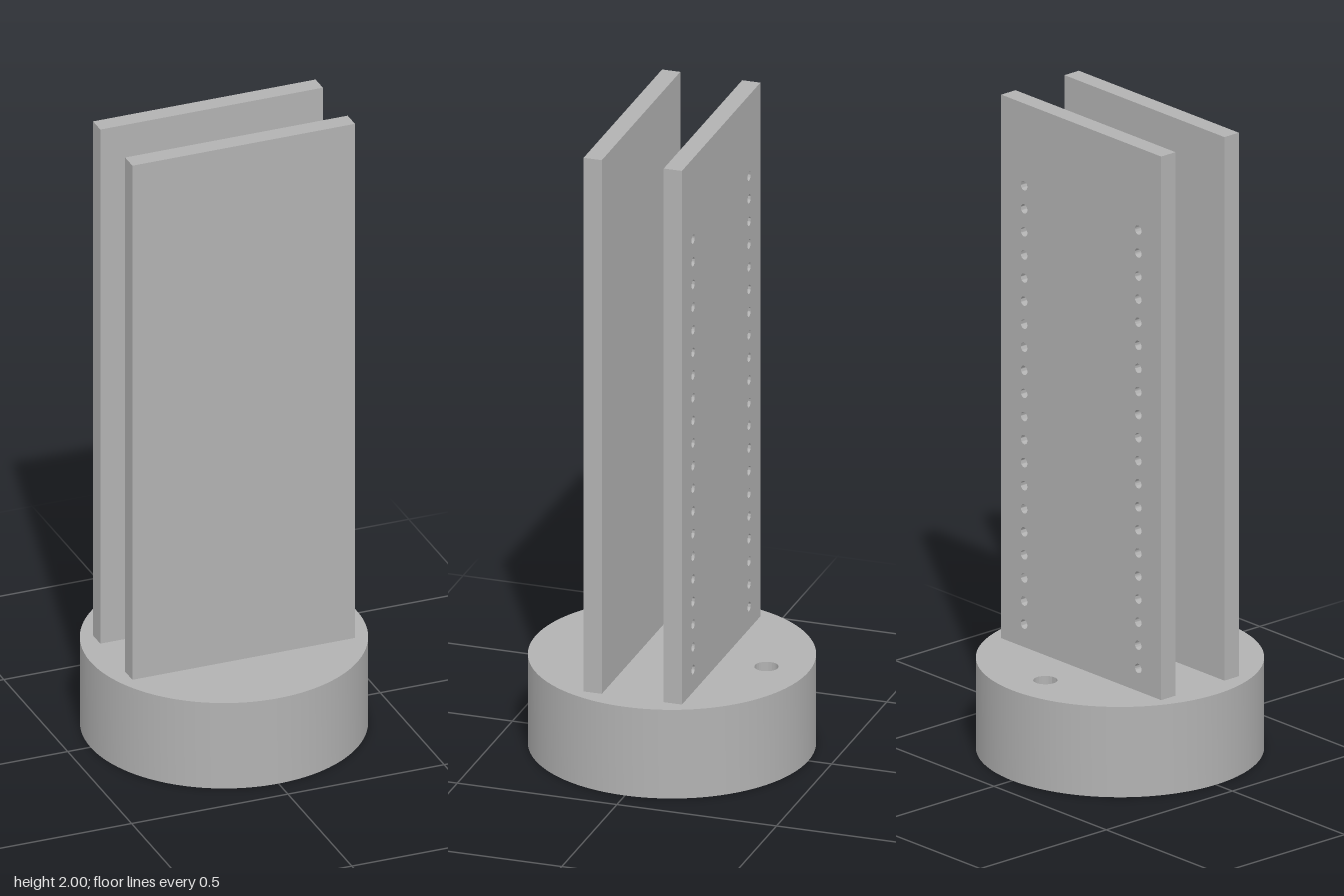
import * as THREE from 'three';
import { toCreasedNormals } from 'three/addons/utils/BufferGeometryUtils.js';

const BASE_R = 0.427, BASE_H = 0.285, TOP = 2;
const PLATE_HALF_W = 0.356, PLATE_T = 0.057, PLATE_Z = 0.1255;

function circleHole(x, y, r) {
  return new THREE.Path().absarc(x, y, r, 0, Math.PI * 2, true);
}

function extrude(shape, depth, curveSegments) {
  const geometry = new THREE.ExtrudeGeometry(shape, { depth, curveSegments, bevelEnabled: false });
  return toCreasedNormals(geometry, Math.PI / 5);
}

// Upright rectangle resting on the base
function plateShape() {
  return new THREE.Shape([
    new THREE.Vector2(-PLATE_HALF_W, BASE_H),
    new THREE.Vector2(PLATE_HALF_W, BASE_H),
    new THREE.Vector2(PLATE_HALF_W, TOP),
    new THREE.Vector2(-PLATE_HALF_W, TOP),
  ]);
}

export function createModel() {
  const model = new THREE.Group();
  const grey = new THREE.MeshStandardMaterial({ color: 0xb2b2b2 });
  grey.name = 'grey';

  const add = (name, geometry) => {
    const mesh = new THREE.Mesh(geometry, grey);
    mesh.name = name;
    model.add(mesh);
    return mesh;
  };

  // Round base with a through hole near the back
  const disc = new THREE.Shape().absarc(0, 0, BASE_R, 0, Math.PI * 2, false);
  disc.holes.push(circleHole(0, 0.296, 0.036));
  add('base', extrude(disc, BASE_H, 96).rotateX(-Math.PI / 2));

  // Plain front plate
  add('frontPlate', extrude(plateShape(), PLATE_T, 1)).position.z = PLATE_Z - PLATE_T / 2;

  // Back plate with two columns of twenty drilled holes
  const drilled = plateShape();
  for (const x of [-0.254, 0.254]) {
    for (let i = 0; i < 20; i++) drilled.holes.push(circleHole(x, 0.357 + i * 0.0728, 0.0145));
  }
  add('backPlate', extrude(drilled, PLATE_T, 20)).position.z = -PLATE_Z - PLATE_T / 2;

  return model;
}
